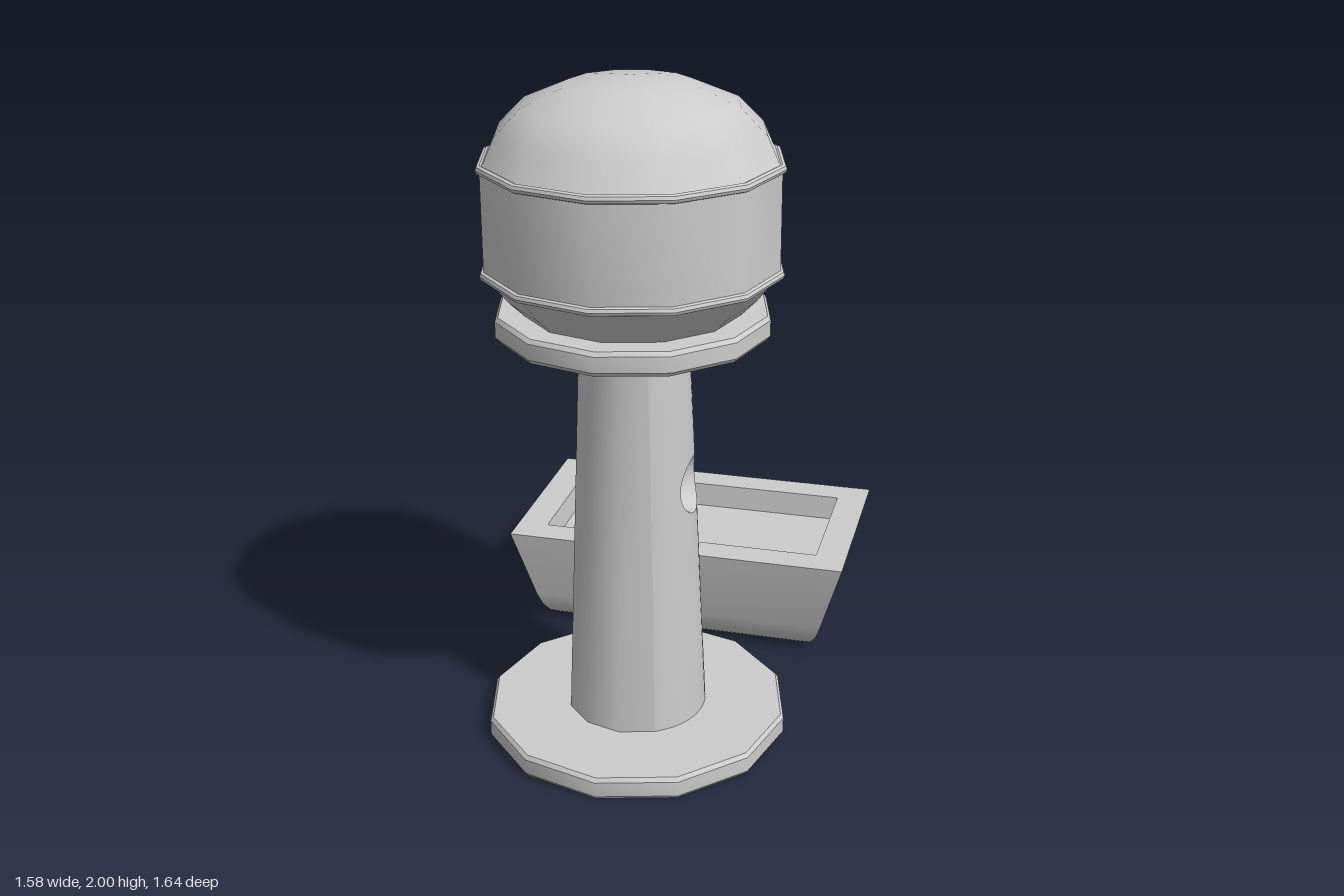
import * as THREE from 'three';
import { toCreasedNormals } from 'three/addons/utils/BufferGeometryUtils.js';
import { ParametricGeometry } from 'three/addons/geometries/ParametricGeometry.js';

const SIDES = 12;
const material = new THREE.MeshStandardMaterial({ color: 0xcccccc, side: THREE.DoubleSide });

function addMesh(parent, name, geometry) {
  const mesh = new THREE.Mesh(toCreasedNormals(geometry, 0.6), material);
  mesh.name = name;
  parent.add(mesh);
  return mesh;
}

// Twelve-sided turned part from [radius, height] points, bottom to top
function turned(points) {
  return new THREE.LatheGeometry(points.map(([r, y]) => new THREE.Vector2(r, y)), SIDES);
}

// Stack of rectangles [halfLength, halfWidth, y] joined by flat faces
function rectLoft(rings) {
  const signs = [[1, 1], [1, -1], [-1, -1], [-1, 1]];
  const positions = [];
  const corner = ([l, w, y], j) => [l * signs[j % 4][0], y, w * signs[j % 4][1]];
  for (let i = 0; i < rings.length - 1; i++) {
    for (let j = 0; j < 4; j++) {
      const a = corner(rings[i], j), b = corner(rings[i], j + 1);
      const c = corner(rings[i + 1], j + 1), d = corner(rings[i + 1], j);
      positions.push(...a, ...d, ...b, ...d, ...c, ...b);
    }
  }
  const geometry = new THREE.BufferGeometry();
  geometry.setAttribute('position', new THREE.Float32BufferAttribute(positions, 3));
  geometry.computeVertexNormals();
  return geometry;
}

// Tapered column dimensions and its round socket
const TOP = 1.28, R_BOTTOM = 0.213, R_TOP = 0.159;
const SOCKET_Y = 0.81, SOCKET_R = 0.086, SOCKET_DEPTH = 0.08;
const columnRadius = (y) => R_BOTTOM + (R_TOP - R_BOTTOM) * (y / TOP);

// Front third of the column: a dished socket blended out to the panel border
function socketPanel(u, v, target) {
  const t = u * Math.PI * 2, c = Math.cos(t), s = Math.sin(t);
  const holeAngle = (SOCKET_R / 0.18) * c, holeY = SOCKET_R * s;
  let angle, y, depth = 0;
  if (v < 0.4) {
    const k = v / 0.4;
    angle = holeAngle * k;
    y = holeY * k;
    depth = SOCKET_DEPTH * Math.sqrt(Math.max(0, 1 - k * k));
  } else {
    const k = Math.min(1, (v - 0.4) / 0.6), m = Math.max(Math.abs(c), Math.abs(s));
    const edgeY = (s / m) * (s > 0 ? TOP - SOCKET_Y : SOCKET_Y);
    angle = THREE.MathUtils.lerp(holeAngle, (c / m) * Math.PI / 3, k);
    y = THREE.MathUtils.lerp(holeY, edgeY, k);
  }
  y += SOCKET_Y;
  const r = columnRadius(y) - depth;
  target.set(r * Math.cos(angle), y, r * Math.sin(angle));
}

function createTower() {
  const tower = new THREE.Group();
  tower.name = 'tower';

  // Foot plate, open where the hollow column meets it
  addMesh(tower, 'footPlate', turned([
    [0.213, 0], [0.45, 0], [0.459, 0.012], [0.459, 0.058], [0.45, 0.07], [0.205, 0.07],
  ]));

  // Column: plain back plus the panel with the socket
  const back = new THREE.CylinderGeometry(R_TOP, R_BOTTOM, TOP, 8, 1, true,
    Math.PI * 5 / 6, Math.PI * 4 / 3);
  back.translate(0, TOP / 2, 0);
  addMesh(tower, 'columnBack', back);
  addMesh(tower, 'columnSocketPanel', new ParametricGeometry(socketPanel, 48, 20));

  // Collar plate under the tank
  addMesh(tower, 'collar', turned([
    [0, 1.275], [0.387, 1.275], [0.396, 1.287], [0.396, 1.333], [0.387, 1.345], [0, 1.345],
  ]));

  // Tank: tapered bottom, straight drum and dome
  addMesh(tower, 'tank', turned([
    [0, 1.345], [0.315, 1.345], [0.355, 1.385], [0.405, 1.45], [0.421, 1.462],
    [0.421, 1.77], [0.411, 1.78], [0.38, 1.85], [0.305, 1.925], [0.175, 1.98], [0, 2],
  ]));

  // Hoops around the drum
  for (const [name, y] of [['lowerHoop', 1.467], ['upperHoop', 1.765]]) {
    const hoop = new THREE.TorusGeometry(0.42, 0.013, 8, SIDES);
    hoop.rotateX(Math.PI / 2);
    addMesh(tower, name, hoop).position.y = y;
  }
  return tower;
}

function createTrough() {
  const trough = new THREE.Group();
  trough.name = 'trough';
  // Recessed top, sloping walls with rounded lower edge, hollow underneath
  addMesh(trough, 'troughShell', rectLoft([
    [0, 0, 0.26], [0.452, 0.214, 0.26], [0.46, 0.222, 0.34], [0.56, 0.3175, 0.34],
    [0.488, 0.276, 0.1], [0.473, 0.26, 0.055], [0.453, 0.24, 0.025], [0.43, 0.22, 0.01],
    [0.395, 0.19, 0.01], [0.445, 0.21, 0.23], [0, 0, 0.23],
  ]));
  return trough;
}

export function createModel() {
  const model = new THREE.Group();
  model.name = 'towerAndTrough';
  const tower = createTower();
  tower.position.set(-0.338, 0, 0.365);
  const trough = createTrough();
  trough.position.set(0.153, 0, -0.215);
  for (const part of [tower, trough]) {
    part.rotation.y = -0.703;
    model.add(part);
  }
  return model;
}
